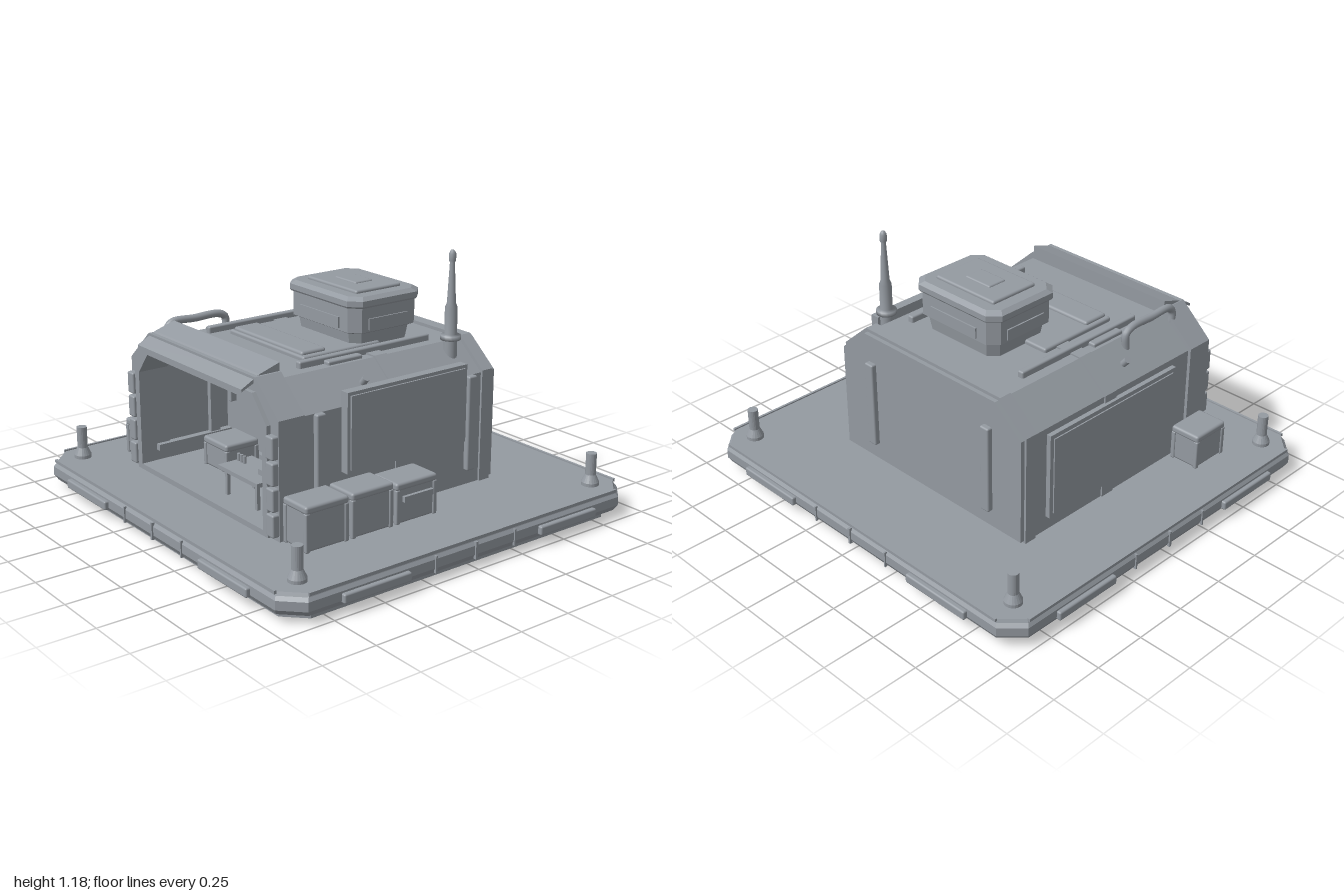
import * as THREE from 'three';
import { RoundedBoxGeometry } from 'three/addons/geometries/RoundedBoxGeometry.js';

const grey = new THREE.MeshStandardMaterial({ color: 0x949aa1 });
grey.name = 'steel grey';

export function createModel() {
  const root = new THREE.Group();
  root.name = 'outpost';

  const add = (name, geo, x = 0, y = 0, z = 0, parent = root) => {
    const m = new THREE.Mesh(geo, grey);
    m.name = name;
    m.position.set(x, y, z);
    parent.add(m);
    return m;
  };
  // Box given by its limits on each axis
  const box = (name, x0, x1, y0, y1, z0, z1, parent) =>
    add(name, new THREE.BoxGeometry(x1 - x0, y1 - y0, z1 - z0), (x0 + x1) / 2, (y0 + y1) / 2, (z0 + z1) / 2, parent);
  const rbox = (name, x0, x1, y0, y1, z0, z1, r = 0.015, parent = root) =>
    add(name, new RoundedBoxGeometry(x1 - x0, y1 - y0, z1 - z0, 2, r), (x0 + x1) / 2, (y0 + y1) / 2, (z0 + z1) / 2, parent);

  // Stack of corner-cut rectangles; each section is [y, halfX, halfZ, cut]
  const octLoft = (sections) => {
    const rings = sections.map(([y, a, b, c]) =>
      [[a, b - c], [a, c - b], [a - c, -b], [c - a, -b], [-a, c - b], [-a, b - c], [c - a, b], [a - c, b]]
        .map(([x, z]) => [x, y, z]));
    const p = [];
    for (let s = 0; s < rings.length - 1; s++) {
      for (let i = 0; i < 8; i++) {
        const j = (i + 1) % 8, a = rings[s][i], b = rings[s][j], c = rings[s + 1][j], d = rings[s + 1][i];
        p.push(...a, ...b, ...c, ...a, ...c, ...d);
      }
    }
    const top = rings[rings.length - 1], bot = rings[0];
    for (let i = 1; i < 7; i++) p.push(...top[0], ...top[i], ...top[i + 1], ...bot[0], ...bot[i + 1], ...bot[i]);
    const g = new THREE.BufferGeometry();
    g.setAttribute('position', new THREE.Float32BufferAttribute(p, 3));
    g.computeVertexNormals();
    return g;
  };

  // Hut cross-section with sloped shoulders
  const hutPoints = (x0, x1, y0, shoulder, top, cut) =>
    [[x0, y0], [x1, y0], [x1, shoulder], [x1 - cut, top], [x0 + cut, top], [x0, shoulder]]
      .map(([x, y]) => new THREE.Vector2(x, y));
  const hut = (name, outer, z0, z1, inner) => {
    const shape = new THREE.Shape(hutPoints(...outer));
    if (inner) shape.holes.push(new THREE.Path(hutPoints(...inner)));
    return add(name, new THREE.ExtrudeGeometry(shape, { depth: z1 - z0, bevelEnabled: false }), 0, 0, z0);
  };

  // Platform
  add('platform', octLoft([
    [0, 0.93, 0.9, 0.09], [0.03, 0.93, 0.9, 0.09], [0.035, 0.965, 0.935, 0.09],
    [0.06, 0.98, 0.95, 0.09], [0.1, 0.98, 0.95, 0.09], [0.115, 0.97, 0.94, 0.09], [0.13, 0.965, 0.935, 0.09]]));
  for (const s of [-1, 1]) {
    for (const t of [-1, 1]) {
      // Edge bumpers, rim joints and corner bollards
      rbox('edgeBumper', t * 0.55 - 0.175, t * 0.55 + 0.175, 0.05, 0.092, s * 0.95 - 0.02, s * 0.95 + 0.02, 0.008);
      rbox('edgeBumper', s * 0.98 - 0.02, s * 0.98 + 0.02, 0.05, 0.092, t * 0.53 - 0.17, t * 0.53 + 0.17, 0.008);
      box('rimJoint', t * 0.23 - 0.004, t * 0.23 + 0.004, 0.04, 0.115, s * 0.95 - 0.006, s * 0.95 + 0.006);
      box('rimJoint', s * 0.98 - 0.006, s * 0.98 + 0.006, 0.04, 0.115, t * 0.22 - 0.004, t * 0.22 + 0.004);
      add('bollard', new THREE.LatheGeometry([[0, 0.13], [0.04, 0.13], [0.04, 0.145], [0.024, 0.18], [0.024, 0.28], [0, 0.28]]
        .map(([x, y]) => new THREE.Vector2(x, y)), 20).toNonIndexed(), s * 0.85, 0, t * 0.815).geometry.computeVertexNormals();
    }
    box('rimJoint', -0.006, 0.006, 0.04, 0.118, s * 0.95 - 0.007, s * 0.95 + 0.007);
    box('rimJoint', s * 0.98 - 0.007, s * 0.98 + 0.007, 0.04, 0.118, -0.006, 0.006);
    box('rimLip', -0.88, 0.88, 0.122, 0.136, s * 0.94 - 0.006, s * 0.94 + 0.006);
    box('rimLip', s * 0.97 - 0.006, s * 0.97 + 0.006, 0.122, 0.136, -0.85, 0.85);
  }

  // Hut shell
  const body = [-0.61, 0.505, 0.13, 0.64, 0.765, 0.15];
  const opening = [-0.53, 0.43, 0.16, 0.6, 0.7, 0.08];
  hut('rearBody', body, -0.5, 0.2);
  hut('frontBody', body, 0.2, 0.54, [-0.54, 0.44, 0.155, 0.61, 0.71, 0.09]);
  hut('frontFrame', [-0.625, 0.52, 0.13, 0.65, 0.795, 0.16], 0.53, 0.66, opening);
  hut('frontTrim', [-0.565, 0.465, 0.135, 0.62, 0.735, 0.1], 0.65, 0.68, opening);
  hut('backFrame', [-0.62, 0.515, 0.13, 0.65, 0.78, 0.15], -0.51, -0.45);
  hut('backPlate', [-0.61, 0.505, 0.14, 0.64, 0.765, 0.15], -0.53, -0.5);
  hut('middleBand', [-0.617, 0.512, 0.13, 0.645, 0.772, 0.152], -0.03, 0.04);
  for (const x of [-0.417, 0.31]) rbox('backRib', x - 0.025, x + 0.025, 0.22, 0.635, -0.555, -0.52, 0.008);

  // Front pillar blocks
  for (const x of [-0.595, 0.49])
    for (let i = 0; i < 4; i++) rbox('pillarBlock', x - 0.025, x + 0.025, 0.15 + i * 0.112, 0.25 + i * 0.112, 0.65, 0.69, 0.008);

  // Side panels and ribs
  box('rightPanel', 0.5, 0.545, 0.355, 0.71, -0.33, 0.33);
  box('rightPanelInset', 0.54, 0.553, 0.37, 0.695, -0.315, 0.315);
  for (const z of [-0.385, 0.45]) rbox('rightRib', 0.49, 0.53, 0.2, 0.64, z - 0.024, z + 0.024, 0.008);
  box('leftPanel', -0.632, -0.6, 0.2, 0.61, -0.38, 0.42);
  box('leftPanelInset', -0.638, -0.62, 0.22, 0.59, -0.36, 0.4);

  // Awning over the opening
  const awning = new THREE.Shape([[-0.72, 0.74], [-0.72, 0.752], [-0.63, 0.8], [-0.53, 0.832], [-0.53, 0.79], [-0.62, 0.785]]
    .map(([x, y]) => new THREE.Vector2(x, y)).reverse());
  add('awning', new THREE.ExtrudeGeometry(awning, { depth: 0.81, bevelEnabled: false }), -0.46).rotation.y = Math.PI / 2;

  // Room interior
  for (let i = 0; i < 3; i++) {
    const x = -0.32 + i * 0.265;
    box('wallPanel', x - 0.125, x + 0.125, 0.2, 0.53, 0.19, 0.212);
    rbox('wallLight', x - 0.105, x + 0.105, 0.575, 0.6, 0.19, 0.235, 0.008);
    box('ceilingLight', x - 0.06, x + 0.06, 0.683, 0.695, 0.5, 0.56);
  }
  box('baseStrip', -0.46, 0.36, 0.16, 0.185, 0.19, 0.225);
  for (const x of [-0.53, 0.43]) {
    box('innerWallRib', x - 0.015, x + 0.015, 0.16, 0.6, 0.26, 0.31);
    box('innerWallRail', x - 0.025, x + 0.025, 0.21, 0.24, 0.2, 0.6);
    const s = Math.sign(x);
    rbox('innerWallLamp', x - s * 0.07 - 0.01, x - s * 0.07 + 0.01, 0.39, 0.6, 0.2, 0.24, 0.005);
  }
  box('wallScreen', -0.18, -0.065, 0.305, 0.385, 0.2, 0.24);

  // Work table with small items
  box('tableTop', -0.02, 0.275, 0.273, 0.292, 0.42, 0.6);
  for (const x of [0.01, 0.235])
    for (const z of [0.435, 0.575]) box('tableLeg', x, x + 0.016, 0.155, 0.28, z - 0.008, z + 0.008);
  box('tableBrace', 0.01, 0.25, 0.21, 0.222, 0.43, 0.44);
  for (let i = 0; i < 3; i++) add('tableCup', new THREE.CylinderGeometry(0.008, 0.008, 0.035, 10), -0.005 + i * 0.022, 0.308, 0.5);
  box('tableBox', 0.185, 0.22, 0.29, 0.318, 0.48, 0.53);

  // Storage crates: body, lid, corner posts and latch
  const crate = (x0, x1, y0, y1, z0, z1, latchX = 0) => {
    const g = new THREE.Group();
    g.name = 'crate';
    root.add(g);
    rbox('crateBody', x0 + 0.006, x1 - 0.006, y0, y1 - 0.01, z0 + 0.006, z1 - 0.006, 0.012, g);
    rbox('crateLid', x0, x1, y1 - 0.035, y1, z0, z1, 0.012, g);
    for (const x of [x0, x1 - 0.022]) for (const z of [z0, z1 - 0.022])
      rbox('crateCorner', x, x + 0.022, y0, y1 - 0.03, z, z + 0.022, 0.006, g);
    const zc = (z0 + z1) / 2;
    if (latchX) box('crateLatch', latchX - 0.008, latchX + 0.008, y1 - 0.085, y1 - 0.06, zc - 0.08, zc + 0.08, g);
  };
  crate(0.52, 0.68, 0.13, 0.33, 0.425, 0.645);
  crate(0.52, 0.68, 0.13, 0.33, 0.19, 0.41);
  crate(0.52, 0.68, 0.13, 0.315, -0.05, 0.175, 0.685);
  crate(-0.78, -0.63, 0.135, 0.305, 0.42, 0.62);
  crate(-0.37, -0.18, 0.155, 0.295, 0.27, 0.45);

  // Roof plates and rails
  rbox('roofPlate', -0.33, 0.23, 0.755, 0.785, -0.1, 0.32, 0.01);
  rbox('roofHatch', -0.31, 0.205, 0.77, 0.8, 0.18, 0.31, 0.012);
  for (const s of [-1, 1]) {
    const x = -0.053 + s * 0.342;
    rbox('roofRail', x - 0.016, x + 0.016, 0.755, 0.795, -0.32, 0.395, 0.008);
    rbox('railClamp', x + s * 0.03 - 0.02, x + s * 0.03 + 0.02, 0.755, 0.782, 0.085, 0.27, 0.008);
    add('shoulderKnob', new THREE.CylinderGeometry(0.016, 0.016, 0.06, 12), -0.053 + s * 0.495, 0.7, 0.165).rotation.z = -s * 0.7;
  }

  // Roof unit
  const unit = new THREE.Group();
  unit.name = 'roofUnit';
  unit.position.set(0.003, 0, -0.13);
  root.add(unit);
  add('unitBody', octLoft([[0.76, 0.21, 0.16, 0.04], [0.83, 0.22, 0.17, 0.04], [0.84, 0.242, 0.19, 0.045], [0.955, 0.242, 0.19, 0.045]]), 0, 0, 0, unit);
  add('unitLid', octLoft([[0.952, 0.252, 0.197, 0.05], [0.96, 0.257, 0.202, 0.05], [0.985, 0.257, 0.202, 0.05], [1, 0.235, 0.18, 0.045]]), 0, 0, 0, unit);
  rbox('unitTopPlate', -0.178, 0.178, 0.99, 1.014, -0.127, 0.127, 0.01, unit);
  rbox('unitTopCap', -0.075, 0.075, 1, 1.021, -0.05, 0.05, 0.008, unit);
  for (const s of [-1, 1]) {
    box('unitVent', -0.14, 0.14, 0.85, 0.9, s * 0.19 - 0.007, s * 0.19 + 0.007, unit);
    box('unitVent', s * 0.242 - 0.007, s * 0.242 + 0.007, 0.85, 0.9, -0.11, 0.11, unit);
  }

  // Antenna on its shoulder mount
  add('antennaMount', new THREE.CylinderGeometry(0.03, 0.03, 0.15, 16), 0.4, 0.72, -0.36);
  add('antenna', new THREE.LatheGeometry([[0, 0.785], [0.046, 0.785], [0.046, 0.805], [0.028, 0.81], [0.028, 0.93], [0.02, 0.95],
    [0.011, 1.13], [0.016, 1.14], [0.016, 1.17], [0.008, 1.185], [0, 1.185]]
    .map(([x, y]) => new THREE.Vector2(x, y)), 18), 0.4, 0, -0.36);

  // Roof handrail pipe
  const path = new THREE.CatmullRomCurve3([[0.545, 0.74], [0.545, 0.79], [0.52, 0.815], [0.4, 0.815], [0.27, 0.815], [0.235, 0.795], [0.235, 0.72]]
    .map(([z, y]) => new THREE.Vector3(-0.493, y, z)), false, 'centripetal');
  add('roofPipe', new THREE.TubeGeometry(path, 40, 0.018, 12));

  return root;
}
